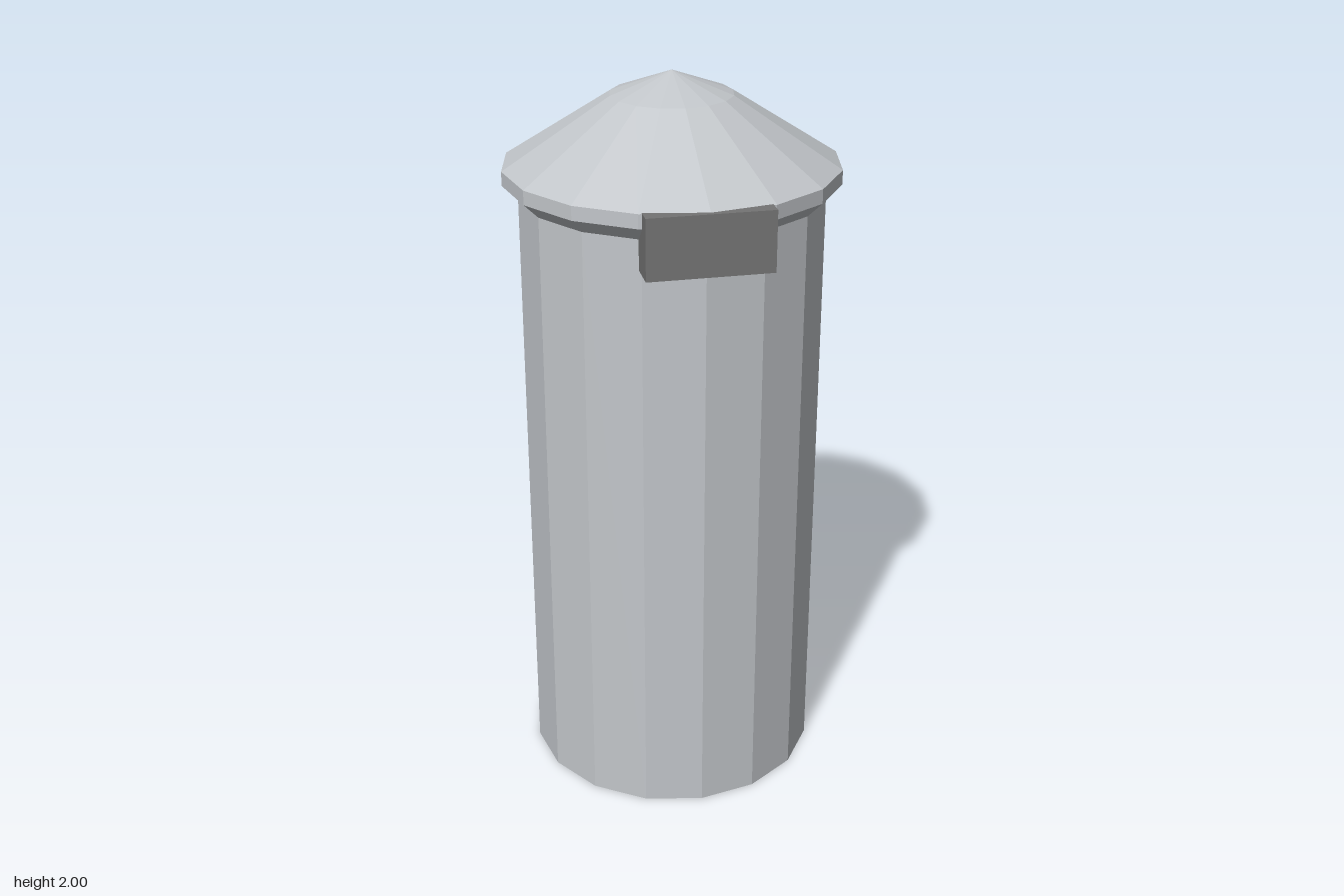
import * as THREE from 'three';

export function createModel() {
  const model = new THREE.Group();
  const steel = new THREE.MeshStandardMaterial({ color: 0xc2c6ca, flatShading: true });
  steel.name = 'light steel';
  const dark = new THREE.MeshStandardMaterial({ color: 0x747474, flatShading: true });
  dark.name = 'dark grey';

  const centreZ = -0.005;

  // Sixteen-sided turned part from [radius, height] pairs, listed bottom to top
  function turned(name, profile) {
    const points = profile.map(([r, y]) => new THREE.Vector2(r, y));
    const mesh = new THREE.Mesh(new THREE.LatheGeometry(points, 16), steel);
    mesh.name = name;
    mesh.position.z = centreZ;
    model.add(mesh);
  }

  // Body with closed base
  turned('body', [[0, 0], [0.408, 0], [0.408, 1.68]]);

  // Lid with chamfered rim and a shallower tip
  turned('lid', [[0.408, 1.68], [0.449, 1.72], [0.449, 1.758], [0.163, 1.94], [0, 2]]);

  // Plate at the front, just under the lid
  const plate = new THREE.Mesh(new THREE.BoxGeometry(0.325, 0.16, 0.09), dark);
  plate.name = 'frontPlate';
  plate.position.set(0, 1.68, 0.409);
  model.add(plate);

  return model;
}
